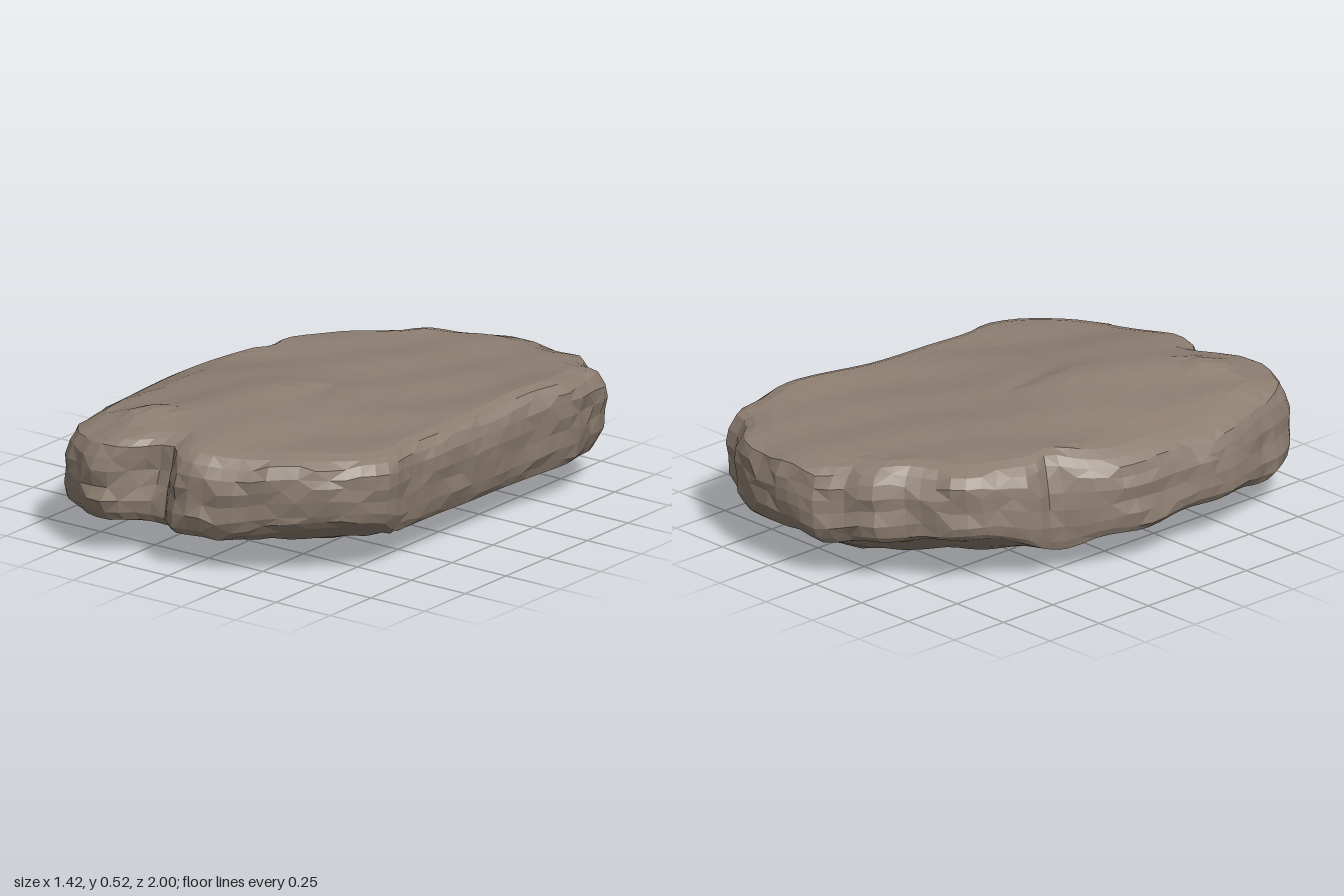
import * as THREE from 'three';

const SIDES = 96;

// Plan outline of the slab as [x, z], starting at the back
const OUTLINE = [
  [0.27, -1.0], [0.48, -0.95], [0.56, -0.87], [0.65, -0.84], [0.67, -0.72], [0.7, -0.59],
  [0.67, -0.38], [0.65, -0.1], [0.64, 0.15], [0.63, 0.38], [0.65, 0.49], [0.59, 0.62],
  [0.46, 0.74], [0.27, 0.85], [0.12, 0.92], [-0.01, 0.95], [-0.08, 0.91], [-0.12, 0.87],
  [-0.23, 0.93], [-0.29, 0.98], [-0.4, 0.99], [-0.47, 0.95], [-0.57, 0.88], [-0.62, 0.78],
  [-0.63, 0.7], [-0.68, 0.58], [-0.71, 0.42], [-0.7, 0.2], [-0.69, 0.0], [-0.66, -0.12],
  [-0.59, -0.23], [-0.54, -0.29], [-0.56, -0.4], [-0.49, -0.55], [-0.42, -0.66], [-0.24, -0.77],
  [-0.17, -0.87], [-0.06, -0.92], [0.02, -0.98], [0.12, -1.0],
];

// Wall levels from the lower rim to the upper rim: [outline scale, height fraction]
const WALL = [[0.955, 0], [0.98, 0.1], [0.995, 0.25], [0.99, 0.45], [0.995, 0.62], [0.985, 0.78], [0.96, 0.92], [0.92, 1]];
const FLOOR = [0.1, 0.2, 0.3, 0.4, 0.5, 0.6, 0.7, 0.8, 0.88];
const ROOF = [0.86, 0.79, 0.71, 0.62, 0.53, 0.43, 0.33, 0.22, 0.11];

const bump = (x, z, cx, cz, rx, rz) => Math.exp(-(((x - cx) / rx) ** 2) - ((z - cz) / rz) ** 2);

// Top face: a swell and knob toward the front, a raised right edge, drooping left and back rims
function topHeight(x, z) {
  const across = x * 0.9 + z * 0.42;
  const along = z * 0.9 - x * 0.42;
  return 0.463 + 0.062 * bump(x, z, -0.1, 0.35, 0.3, 0.42) + 0.04 * bump(x, z, -0.34, 0.71, 0.09, 0.08)
    + 0.02 * bump(x, z, 0.6, -0.5, 0.12, 0.4)
    - 0.25 * Math.max(0, -x - 0.5) - 0.12 * Math.max(0, -z - 0.75)
    + 0.004 * Math.sin(across * 21 + Math.sin(along * 4)) + 0.004 * Math.sin(along * 11 + across * 6)
    - 0.02 * bump(x, z, 0.03, 0.13, 0.06, 0.12);
}

// Underside: broken planes rising to each side of one low point
function bottomHeight(x, z) {
  const rough = 0.013 * Math.sin(x * 17 + z * 5) * Math.sin(z * 14 - x * 6) * (x < 0.15 ? 1 : 0.15);
  const frontRight = (x + z) * Math.SQRT1_2 - 0.55;
  const backLeft = (-x - z) * Math.SQRT1_2 - 0.45;
  return Math.max(0.045, 0.04 + 0.18 * (x - 0.1), 0.055 + 0.45 * (-z - 0.72),
    0.05 + 0.13 * (z - 0.2), 0.05 + 0.45 * (-x - 0.45),
    0.04 + 0.6 * frontRight, 0.04 + 0.55 * backLeft) + rough
    - 0.042 * bump(x, z, 0.04, -0.18, 0.12, 0.2);
}

// Repeatable jitter in the range -1 to 1
function jitter(seed) {
  const s = Math.sin(seed * 127.1 + 11.7) * 43758.5453;
  return (s - Math.floor(s)) * 2 - 1;
}

function buildRock() {
  const curve = new THREE.CatmullRomCurve3(
    OUTLINE.map(([x, z]) => new THREE.Vector3(x, 0, z)), true, 'centripetal');
  const rim = curve.getSpacedPoints(SIDES).slice(0, SIDES);
  const positions = [0, bottomHeight(0, 0), 0];
  const index = [];

  // Underside rings
  FLOOR.forEach((t) => rim.forEach((p) => {
    positions.push(p.x * t, bottomHeight(p.x * t, p.z * t), p.z * t);
  }));

  // Broken wall, leaning slightly toward +x as it rises
  WALL.forEach(([scale, f], level) => rim.forEach((p, i) => {
    const low = bottomHeight(p.x * 0.955, p.z * 0.955);
    const high = topHeight(p.x * 0.92, p.z * 0.92) - 0.012;
    const inner = level > 0 && level < WALL.length - 1;
    const chip = inner ? 0.009 * jitter(Math.floor(i / 2) + level * 61) + 0.004 * jitter(i + level * 131) : 0;
    // Hollow in the front face beside the notch
    const hollow = 0.05 * bump(p.x, f, -0.2, 0.65, 0.1, 0.25) * (p.z > 0.8 ? 1 : 0);
    const t = scale + chip - hollow;
    const y = low + (high - low) * f + (inner ? 0.01 * jitter(Math.floor(i / 3) + level * 17) : 0);
    positions.push(p.x * t + (y - 0.3) * 0.1, y, p.z * t);
  }));

  // Top rings
  ROOF.forEach((t) => rim.forEach((p) => {
    const x = p.x * t + 0.015;
    positions.push(x, topHeight(x, p.z * t), p.z * t);
  }));
  positions.push(0.015, topHeight(0.015, 0), 0);

  // Join the rings and close both ends
  const rings = FLOOR.length + WALL.length + ROOF.length;
  const last = positions.length / 3 - 1;
  for (let i = 0; i < SIDES; i++) {
    const j = (i + 1) % SIDES;
    index.push(0, 1 + i, 1 + j);
    for (let r = 0; r < rings - 1; r++) {
      const a = 1 + r * SIDES + i, b = 1 + r * SIDES + j;
      const c = a + SIDES, d = b + SIDES;
      if ((i + r) % 2) index.push(a, c, b, b, c, d);
      else index.push(a, c, d, a, d, b);
    }
    const top = 1 + (rings - 1) * SIDES;
    index.push(last, top + j, top + i);
  }

  const geometry = new THREE.BufferGeometry();
  geometry.setAttribute('position', new THREE.Float32BufferAttribute(positions, 3));
  geometry.setIndex(index);

  // Centre the slab and stand it on the ground
  geometry.computeBoundingBox();
  const mid = geometry.boundingBox.getCenter(new THREE.Vector3());
  geometry.translate(-mid.x, -geometry.boundingBox.min.y, -mid.z);
  geometry.computeVertexNormals();
  return geometry;
}

export function createModel() {
  const stone = new THREE.MeshStandardMaterial({ color: 0x8c7d70, flatShading: true });
  stone.name = 'brownStone';
  const rock = new THREE.Mesh(buildRock(), stone);
  rock.name = 'flatRock';
  const group = new THREE.Group();
  group.name = 'rockSlab';
  group.add(rock);
  return group;
}
